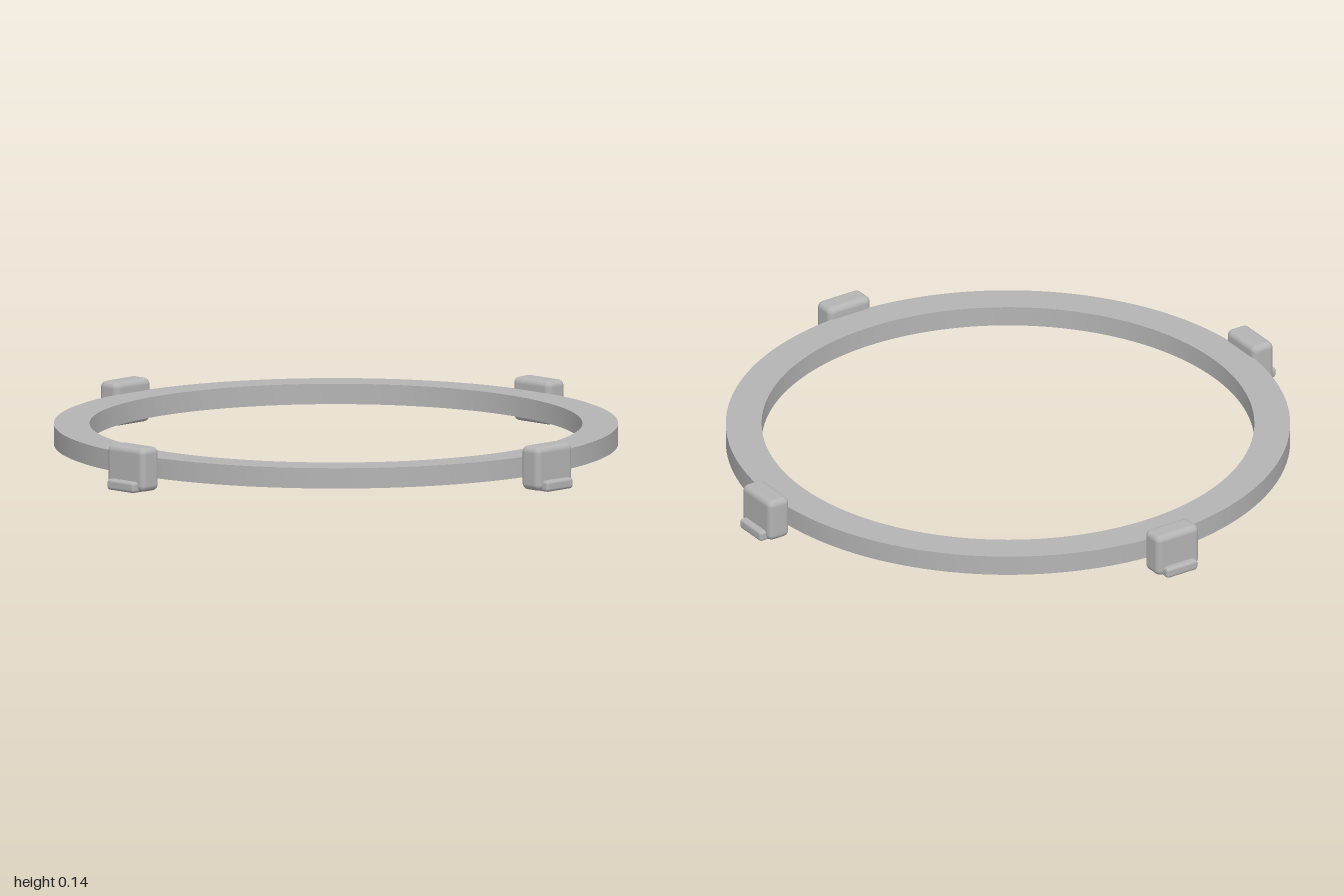
import * as THREE from 'three';
import { toCreasedNormals } from 'three/addons/utils/BufferGeometryUtils.js';
import { RoundedBoxGeometry } from 'three/addons/geometries/RoundedBoxGeometry.js';

export function createModel() {
  const model = new THREE.Group();
  model.name = 'ringWithClips';
  const grey = new THREE.MeshStandardMaterial({ color: 0xb4b4b4 });
  grey.name = 'grey';

  function part(name, geometry, parent, y = 0, z = 0) {
    const mesh = new THREE.Mesh(geometry, grey);
    mesh.name = name;
    mesh.position.set(0, y, z);
    parent.add(mesh);
  }

  // Flat ring with a rectangular section
  const inner = 0.79, outer = 0.905, bottom = 0.04, top = 0.106;
  const profile = [
    [outer, bottom], [outer, top], [inner, top], [inner, bottom], [outer, bottom],
  ].map(([r, y]) => new THREE.Vector2(r, y));
  part('ring', toCreasedNormals(new THREE.LatheGeometry(profile, 160), 0.6), model);

  // Four rounded clips, each with a small lip at its outer foot
  const blockGeometry = new RoundedBoxGeometry(0.164, 0.142, 0.08, 4, 0.02);
  const lipGeometry = new RoundedBoxGeometry(0.12, 0.035, 0.06, 3, 0.01);
  ['front', 'left', 'back', 'right'].forEach((side, i) => {
    const clip = new THREE.Group();
    clip.name = side + 'Clip';
    clip.rotation.y = i * Math.PI / 2;
    part(side + 'ClipBlock', blockGeometry, clip, 0.073, 0.938);
    part(side + 'ClipLip', lipGeometry, clip, 0.0175, 0.97);
    model.add(clip);
  });

  return model;
}
